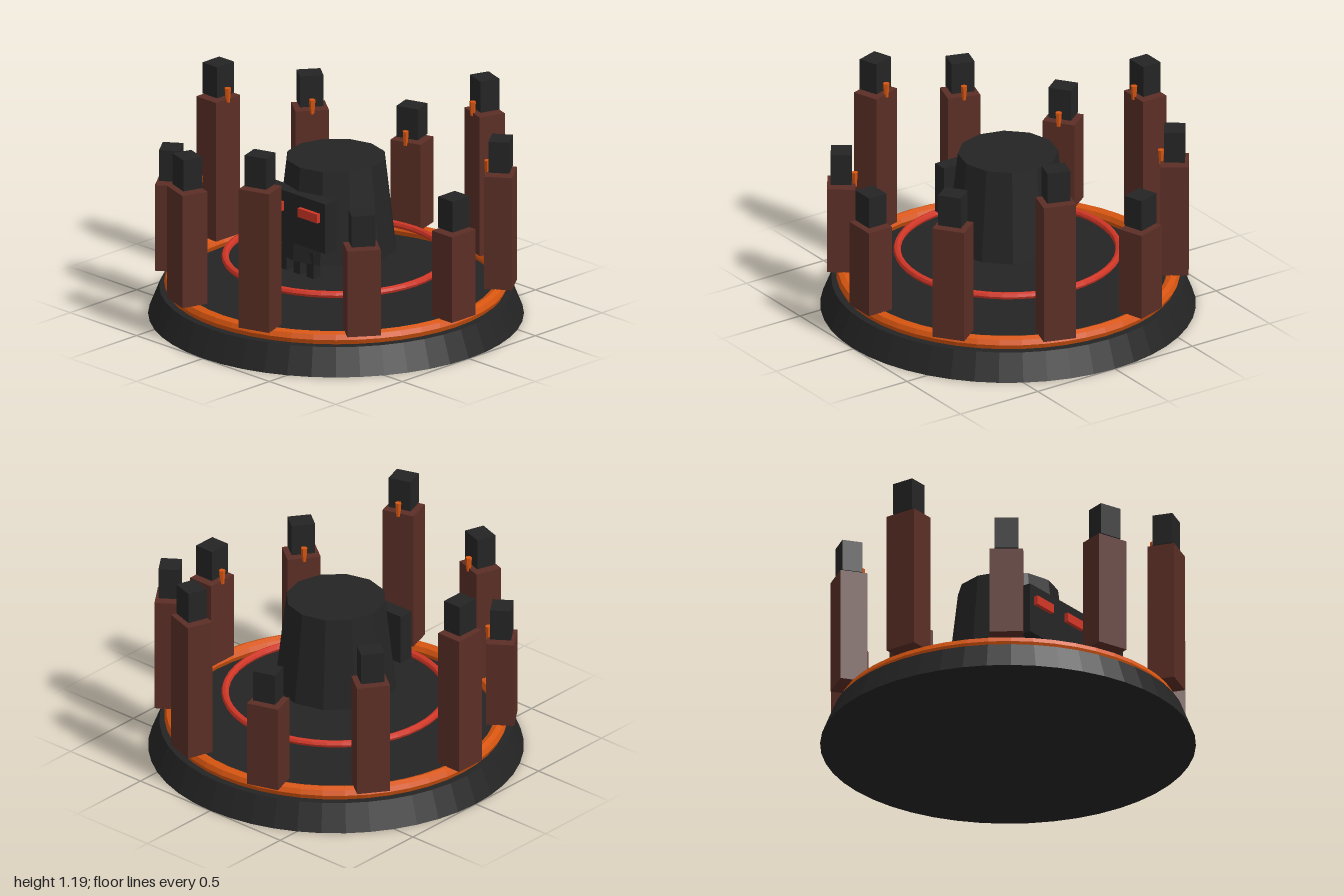
import * as THREE from 'three';

const mat = (name, color) => {
  const m = new THREE.MeshStandardMaterial({ color, flatShading: true });
  m.name = name;
  return m;
};

export function createModel() {
  const charcoal = mat('charcoal', 0x242424);
  const brown = mat('rusty brown', 0x5a2e25);
  const orange = mat('ember orange', 0xd75510);
  const red = mat('signal red', 0xd03626);

  const model = new THREE.Group();
  model.name = 'arena';

  const add = (parent, name, geometry, material, x, y, z) => {
    const mesh = new THREE.Mesh(geometry, material);
    mesh.name = name;
    mesh.position.set(x, y, z);
    parent.add(mesh);
    return mesh;
  };
  const ring = (radius, tube) => new THREE.TorusGeometry(radius, tube, 8, 48).rotateX(Math.PI / 2);

  // Round base with its glowing rings
  add(model, 'base', new THREE.CylinderGeometry(0.94, 1, 0.15, 48), charcoal, 0, 0.075, 0);
  add(model, 'outerRing', ring(0.877, 0.038), orange, 0, 0.18, 0);
  add(model, 'innerRing', ring(0.59, 0.02), red, 0, 0.32, 0);

  // Central head: tapered dome, face plate, eyes and teeth
  const head = new THREE.Group();
  head.name = 'head';
  model.add(head);
  add(head, 'dome', new THREE.CylinderGeometry(0.268, 0.327, 0.51, 12), charcoal, 0, 0.635, 0);
  add(head, 'facePlate', new THREE.BoxGeometry(0.49, 0.28, 0.085), charcoal, 0, 0.622, 0.285);
  for (const side of [-1, 1]) {
    add(head, 'eye', new THREE.BoxGeometry(0.145, 0.05, 0.04), red, side * 0.135, 0.675, 0.33);
  }
  for (const x of [-0.1, 0, 0.1]) {
    add(head, 'tooth', new THREE.BoxGeometry(0.05, 0.145, 0.055), charcoal, x, 0.372, 0.268);
  }

  // Ten pillars of three alternating heights, each with a block and an inward lamp
  const bottom = 0.215;
  const heights = [0.7, 0.85, 1.0];
  for (let i = 0; i < 10; i++) {
    const top = heights[i % 3];
    const pillar = new THREE.Group();
    pillar.name = 'pillar';
    pillar.rotation.y = (i / 10) * Math.PI * 2;
    model.add(pillar);
    add(pillar, 'shaft', new THREE.BoxGeometry(0.15, top - bottom, 0.18), brown,
      0.887, (top + bottom) / 2, 0);
    add(pillar, 'block', new THREE.BoxGeometry(0.112, 0.175, 0.128), charcoal,
      0.887, top + 0.103, 0);
    add(pillar, 'lamp', new THREE.CylinderGeometry(0.018, 0.012, 0.08, 6), orange,
      0.815, top + 0.022, 0);
  }
  return model;
}
